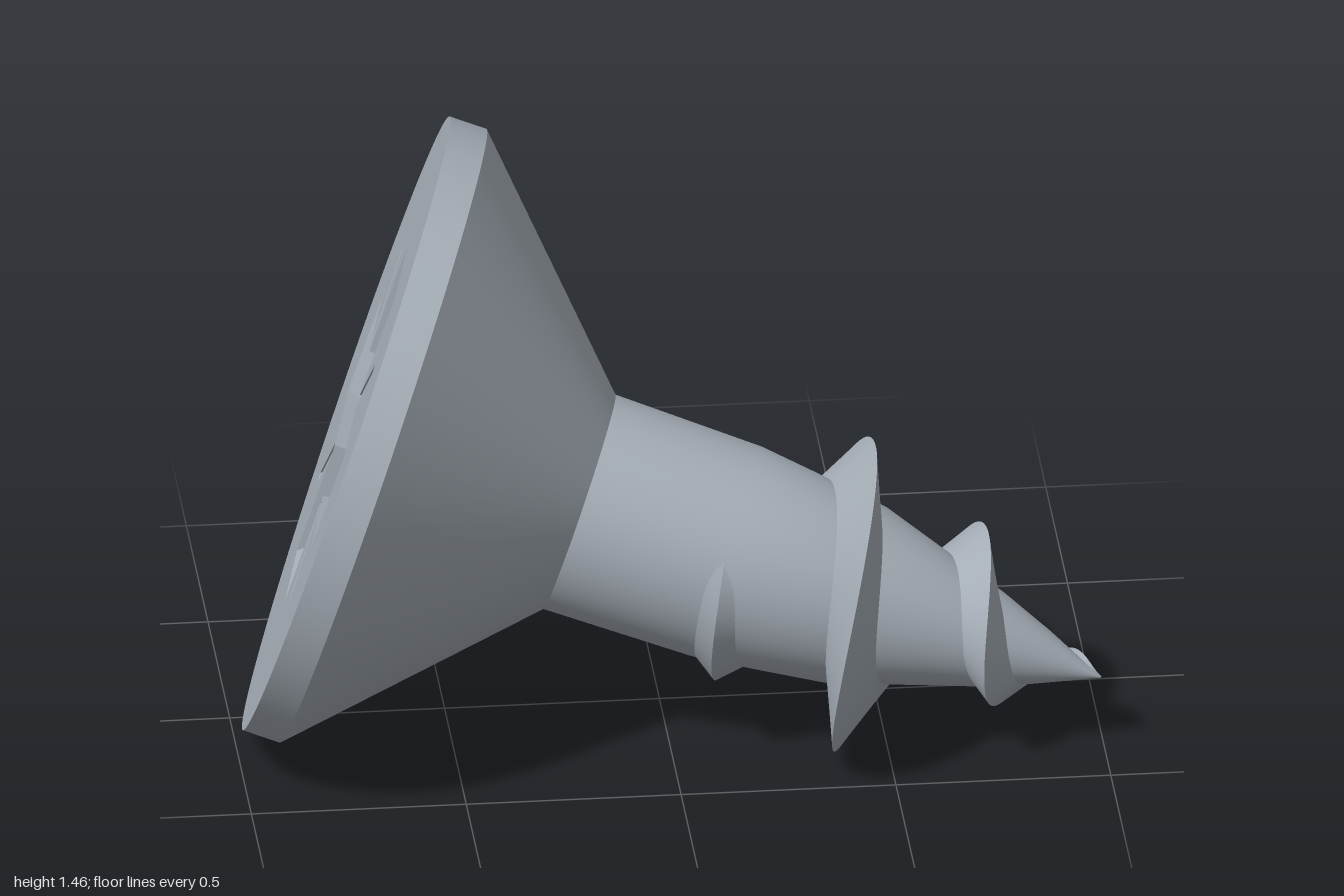
import * as THREE from 'three';

const steel = new THREE.MeshStandardMaterial({ color: 0xa6aeb7, side: THREE.DoubleSide });
steel.name = 'steel grey';

// Core profile: [distance along the axis, radius]
const CORE = [[0.57, 0.262], [0.93, 0.256], [1.08, 0.238], [1.25, 0.215], [1.45, 0.152], [1.57, 0.115], [1.7, 0.065], [1.846, 0.001]];
// Thread crest: [turns from the tip, radius]
const CREST = [[-0.55, 0.01], [-0.25, 0.07], [0, 0.125], [0.25, 0.175], [0.5, 0.235], [0.75, 0.288], [1, 0.352],
  [1.25, 0.378], [1.5, 0.367], [1.75, 0.332], [2, 0.302], [2.25, 0.266], [2.4, 0.24]];

function lookup(table, x) {
  if (x <= table[0][0]) return table[0][1];
  for (let i = 1; i < table.length; i++) {
    const [x0, y0] = table[i - 1], [x1, y1] = table[i];
    if (x <= x1) return y0 + (y1 - y0) * (x - x0) / (x1 - x0);
  }
  return table[table.length - 1][1];
}

function geometryFrom(positions, index) {
  const g = new THREE.BufferGeometry();
  g.setAttribute('position', new THREE.Float32BufferAttribute(positions, 3));
  if (index) g.setIndex(index);
  g.computeVertexNormals();
  return g;
}

function lathe(points) {
  return new THREE.LatheGeometry(points.map(([t, r]) => new THREE.Vector2(r, t)), 96);
}

// Helical thread with two smooth flanks meeting at a sharp crest
function threadGeometry() {
  const pos = [], idx = [], steps = 280, start = -0.55, end = 2.4, pitch = 0.32;
  for (let i = 0; i <= steps; i++) {
    const n = start + (end - start) * i / steps;
    const a = -Math.PI / 2 + n * Math.PI * 2;
    const t = 1.66 - pitch * n;
    const half = Math.min(0.06, 0.012 + 0.06 * (n - start));
    const root = s => [t + s, Math.max(0.002, lookup(CORE, t + s) - 0.006)];
    const crest = [t, lookup(CREST, n)];
    for (const [y, r] of [root(-half), crest, crest, root(half)]) pos.push(r * Math.cos(a), y, r * Math.sin(a));
    if (i < steps) {
      for (const k of [0, 2]) {
        const p = i * 4 + k, q = p + 4;
        idx.push(p, p + 1, q, p + 1, q + 1, q);
      }
    }
  }
  return geometryFrom(pos, idx);
}

// Pocket with a floor that slopes from the outer end down to the inner end
function pocketGeometry(angle, inner, outer, half, depth, innerWall) {
  const A = [outer, 0, -half], B = [outer, 0, half], C = [inner, 0, -half], D = [inner, 0, half];
  const E = [inner, depth, -half], F = [inner, depth, half];
  const tris = [A, B, F, A, F, E, A, E, C, B, D, F];
  if (innerWall) tris.push(C, E, F, C, F, D);
  return geometryFrom(tris.flat()).rotateY(angle);
}

function rectanglePath(angle, inner, outer, half) {
  const c = Math.cos(angle), s = Math.sin(angle);
  return new THREE.Path([[inner, -half], [outer, -half], [outer, half], [inner, half]]
    .map(([x, y]) => new THREE.Vector2(x * c - y * s, x * s + y * c)));
}

export function createModel() {
  const model = new THREE.Group();
  model.name = 'screw';
  const add = (name, geometry) => {
    const m = new THREE.Mesh(geometry, steel);
    m.name = name;
    model.add(m);
  };
  const R = 0.75, W = 0.13, L = 0.42, DEPTH = 0.36;

  // Head face with a cross opening and four diagonal slits
  const face = new THREE.Shape();
  face.absarc(0, 0, R, 0, Math.PI * 2);
  const cross = [[L, -W], [L, W], [W, W], [W, L], [-W, L], [-W, W], [-L, W], [-L, -W], [-W, -W], [-W, -L], [W, -L], [W, -W]];
  face.holes.push(new THREE.Path(cross.map(p => new THREE.Vector2(...p))));
  for (let i = 0; i < 4; i++) face.holes.push(rectanglePath(Math.PI / 4 + i * Math.PI / 2, 0.2, 0.45, 0.012));
  add('headFace', new THREE.ShapeGeometry(face, 48).rotateX(Math.PI / 2));

  // Recess interior
  for (let i = 0; i < 4; i++) {
    const a = i * Math.PI / 2;
    add('recessArm', pocketGeometry(a, W, L, W, DEPTH, false));
    add('recessSlit', pocketGeometry(a + Math.PI / 4, 0.2, 0.45, 0.012, 0.12, true));
  }
  add('recessFloor', new THREE.PlaneGeometry(2 * W, 2 * W).rotateX(Math.PI / 2).translate(0, DEPTH, 0));

  // Head, shank and thread
  add('headRim', lathe([[0, R], [0.09, R]]));
  add('headCone', lathe([[0.09, R], [0.57, 0.262]]));
  add('shank', lathe(CORE));
  add('thread', threadGeometry());

  // Lay the screw down along its tilted axis
  const axis = new THREE.Vector3(0.932, -0.306, 0.195).normalize();
  const side = new THREE.Vector3(-axis.z, 0, axis.x).normalize();
  const up = new THREE.Vector3().crossVectors(side, axis);
  model.quaternion.setFromRotationMatrix(new THREE.Matrix4().makeBasis(side, axis, up));
  model.position.set(-0.728, 0.743, -0.008);

  const root = new THREE.Group();
  root.add(model);
  return root;
}
